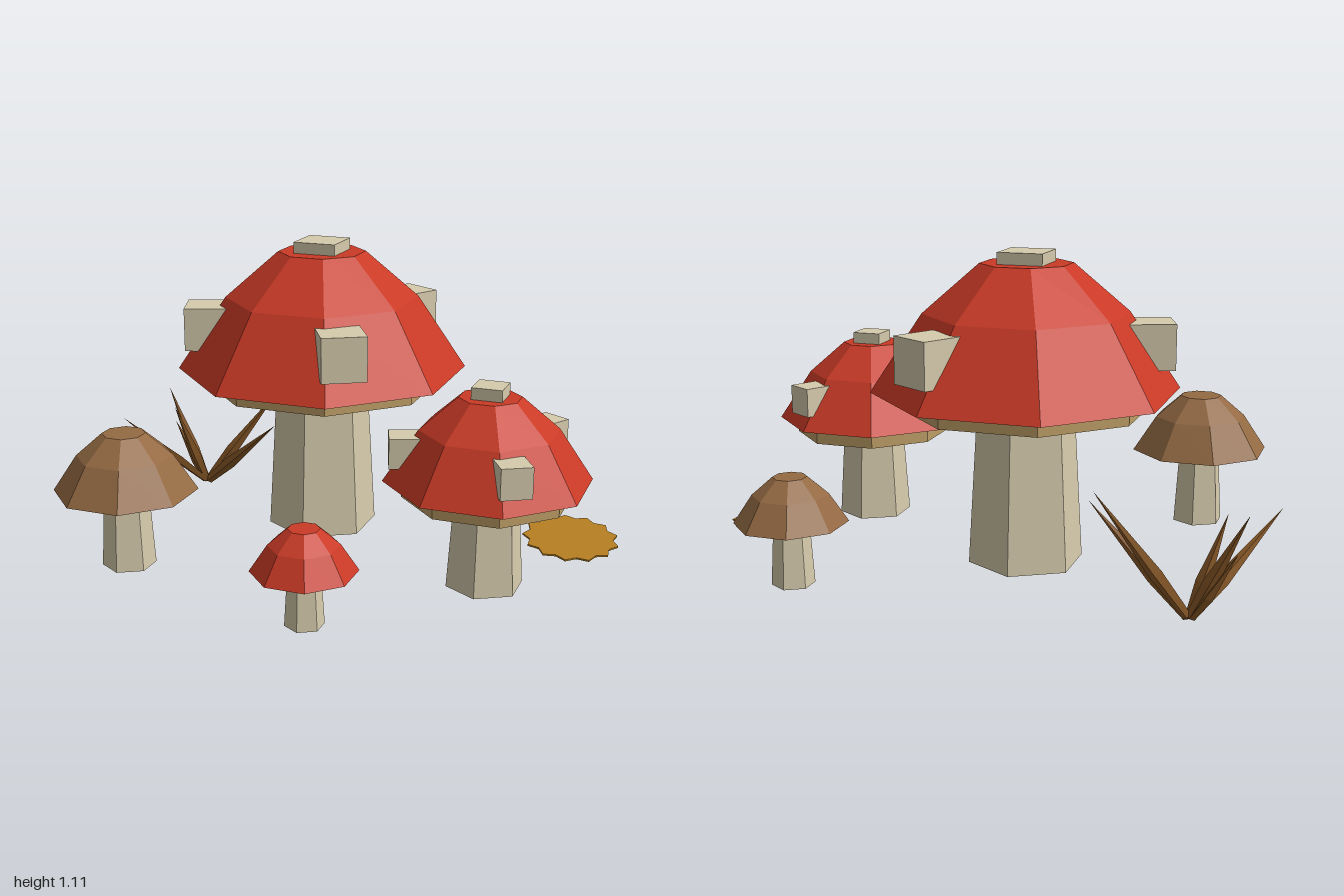
import * as THREE from 'three';

const flat = (name, color, side = THREE.FrontSide) => {
  const m = new THREE.MeshStandardMaterial({ color, flatShading: true, side });
  m.name = name;
  return m;
};

export function createModel() {
  const model = new THREE.Group();
  model.name = 'mushroomPatch';
  const cream = flat('cream', 0xd6cbad);
  const red = flat('red', 0xca3a26);
  const brown = flat('brown', 0x946a43);
  const tan = flat('tan', 0xbd9d66);
  const grass = flat('dryGrass', 0x8c5b28);
  const ochre = flat('ochre', 0xb57f22, THREE.DoubleSide);

  const add = (parent, name, geo, mat, x = 0, y = 0, z = 0) => {
    const mesh = new THREE.Mesh(geo, mat);
    mesh.name = name;
    mesh.position.set(x, y, z);
    parent.add(mesh);
    return mesh;
  };

  const GROUND = 0.045;
  const OCT = Math.cos(Math.PI / 8);

  // Octagonal cap on a hexagonal stem; size is the cap's half width across flats
  function mushroom({ name, x, z, size, capY, capMat, stemTop, r0, r1, gill, spotY }) {
    const g = new THREE.Group();
    g.name = name;
    g.position.set(x, 0, z);
    model.add(g);
    const R = size / OCT, h = size * 0.887;

    add(g, 'stem', new THREE.CylinderGeometry(r1, r0, stemTop - GROUND, 6), cream,
      0, (stemTop + GROUND) / 2, 0);

    const profile = [[0, 0], [R, 0], [R * 0.665, h * 0.615], [R * 0.3, h], [0, h]]
      .map(([a, b]) => new THREE.Vector2(a, b));
    add(g, 'cap', new THREE.LatheGeometry(profile, 8, Math.PI / 8), capMat, 0, capY, 0);

    if (gill) {
      const gr = R * 0.817;
      const geo = new THREE.CylinderGeometry(gr, gr, gill, 8).rotateY(Math.PI / 8);
      add(g, 'gillDisc', geo, tan, 0, capY - gill / 2, 0);
    }
    if (spotY) {
      // Square warts: one on the crown, three around the slope
      const s = size * 0.322;
      add(g, 'crownSpot', new THREE.BoxGeometry(s, 0.08, s), cream, 0, capY + h, 0);
      for (const deg of [30, 150, 290]) {
        const a = THREE.MathUtils.degToRad(deg), r = size * 0.856;
        const spot = add(g, 'sideSpot', new THREE.BoxGeometry(s, s, s), cream,
          r * Math.sin(a), spotY, r * Math.cos(a));
        spot.rotation.y = a;
      }
    }
  }

  mushroom({ name: 'largeRedMushroom', x: -0.12, z: -0.185, size: 0.485, capY: 0.642,
    capMat: red, stemTop: 0.6, r0: 0.2, r1: 0.168, gill: 0.056, spotY: 0.798 });
  mushroom({ name: 'mediumRedMushroom', x: 0.604, z: 0.167, size: 0.323, capY: 0.418,
    capMat: red, stemTop: 0.38, r0: 0.133, r1: 0.111, gill: 0.056, spotY: 0.523 });
  mushroom({ name: 'leftBrownMushroom', x: -0.6, z: 0.443, size: 0.23, capY: 0.32,
    capMat: brown, stemTop: 0.287, r0: 0.093, r1: 0.078 });
  mushroom({ name: 'backBrownMushroom', x: 0.53, z: -0.66, size: 0.173, capY: 0.256,
    capMat: brown, stemTop: 0.23, r0: 0.071, r1: 0.06 });
  mushroom({ name: 'smallRedMushroom', x: 0.153, z: 0.668, size: 0.16, capY: 0.23,
    capMat: red, stemTop: 0.205, r0: 0.065, r1: 0.055 });

  // Dry grass tuft: pointed blades fanning out from one root
  const tuft = new THREE.Group();
  tuft.name = 'grassTuft';
  model.add(tuft);
  const root = new THREE.Vector3(-0.75, 0.012, -0.475);
  const up = new THREE.Vector3(0, 1, 0);
  const bladeProfile = [[0, 0], [0.016, 0.02], [0.024, 0.35], [0, 1]];
  for (const tip of [[-0.45, 0.42, -0.54], [-0.39, 0.33, -0.36], [-0.935, 0.385, -0.522],
    [-0.998, 0.33, -0.24], [-0.85, 0.345, -0.4], [-0.9, 0.25, -0.5]]) {
    const dir = new THREE.Vector3(...tip).sub(root);
    const len = dir.length();
    const geo = new THREE.LatheGeometry(
      bladeProfile.map(([r, t]) => new THREE.Vector2(r, t * len)), 4);
    geo.scale(1, 1, 0.6);
    const blade = add(tuft, 'grassBlade', geo, grass, root.x, root.y, root.z);
    blade.quaternion.setFromUnitVectors(up, dir.normalize());
  }

  // Fallen leaf with a toothed edge
  const outline = new THREE.Shape();
  const teeth = 13;
  for (let i = 0; i < teeth * 2; i++) {
    const a = (i / (teeth * 2)) * Math.PI * 2;
    const r = i % 2 ? 0.158 : 0.181;
    const px = r * 0.93 * Math.cos(a), py = r * 1.08 * Math.sin(a);
    if (i) outline.lineTo(px, py); else outline.moveTo(px, py);
  }
  outline.closePath();
  const leafGeo = new THREE.ExtrudeGeometry(outline, { depth: 0.006, bevelEnabled: false });
  leafGeo.rotateX(-Math.PI / 2);
  const leaf = add(model, 'fallenLeaf', leafGeo, ochre, 0.825, 0.103, -0.187);
  leaf.rotation.set(0.02, 0, -0.06);

  return model;
}
